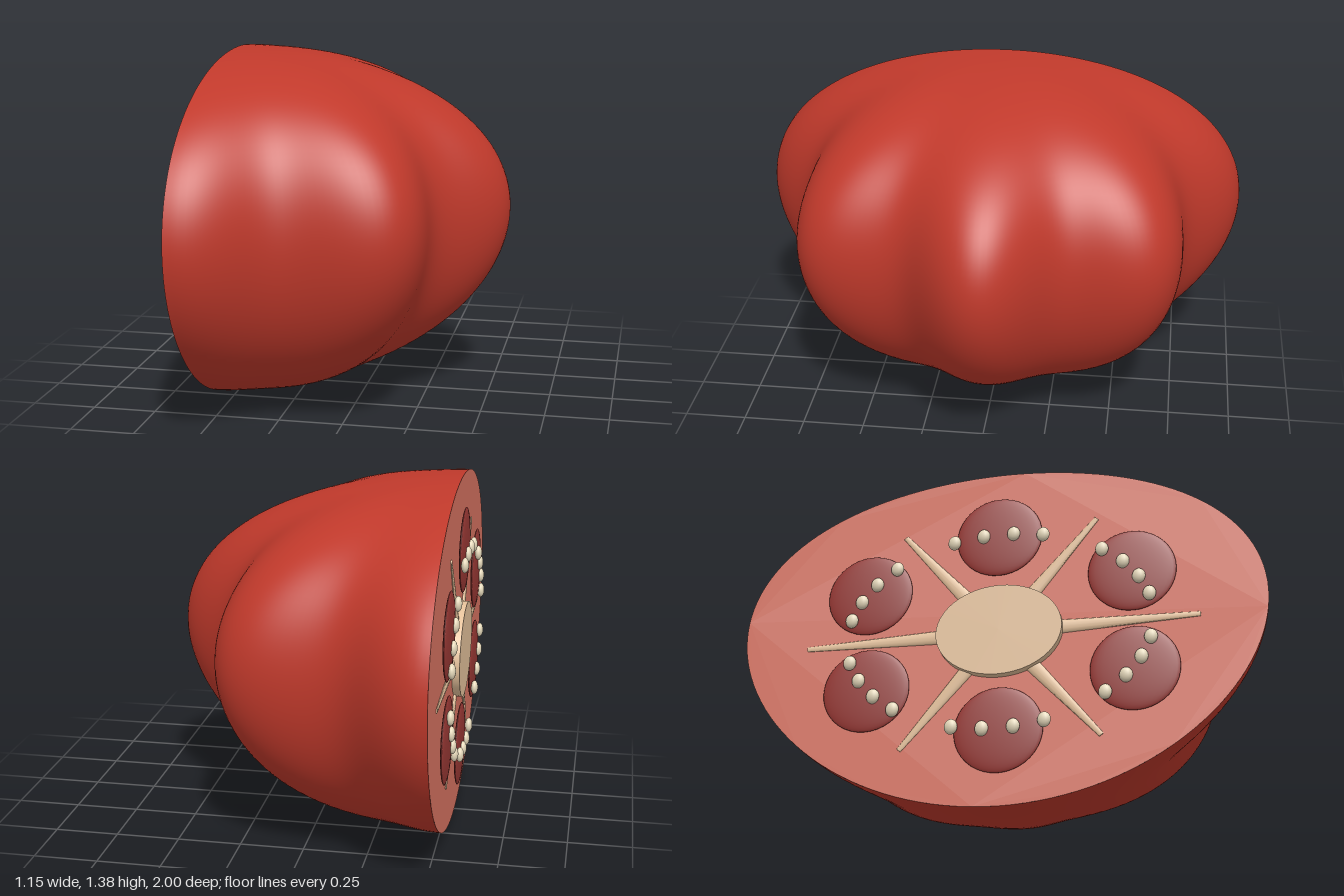
import * as THREE from 'three';
import { ParametricGeometry } from 'three/addons/geometries/ParametricGeometry.js';

const CUT_X = -0.53;   // plane of the cut
const MID_Y = 0.69;    // height of the core
const SQUASH = 0.69;   // height to width ratio of the cut

const mat = (name, color) => {
  const m = new THREE.MeshStandardMaterial({ color });
  m.name = name;
  return m;
};

// Height of the body at a latitude; the widest ring sits a little above the middle
const heightAt = (lat) => MID_Y + SQUASH * Math.sin(lat) + 0.075 * Math.cos(lat) ** 2;

export function createModel() {
  const skinRed = mat('skinRed', 0xc0392b);
  const fleshPink = mat('fleshPink', 0xda7462);
  const corePale = mat('corePale', 0xf0cba3);
  const pocketDark = mat('pocketDark', 0x983834);
  const seedCream = mat('seedCream', 0xecdfc0);

  const group = new THREE.Group();
  const add = (name, geometry, material, x, y, z) => {
    const mesh = new THREE.Mesh(geometry, material);
    mesh.name = name;
    mesh.position.set(x, y, z);
    group.add(mesh);
    return mesh;
  };
  // Point on an ellipse around the core, as [y, z]
  const around = (angle, r) => [MID_Y + r * SQUASH * Math.sin(angle), r * Math.cos(angle)];

  // Skin: half of a ribbed, flattened globe, ribs fading towards the poles
  const skin = new ParametricGeometry((u, v, p) => {
    const lat = (u - 0.5) * Math.PI;
    const theta = (v - 0.5) * Math.PI;
    const c = Math.cos(lat);
    const r = c * (1 - 0.075 * (1 - Math.cos(8 * theta)) * Math.pow(Math.max(c, 0), 1.5));
    p.set(CUT_X + 1.105 * r * Math.cos(theta), heightAt(lat), r * Math.sin(theta));
  }, 72, 128);
  skin.computeVertexNormals();
  add('skin', skin, skinRed, 0, 0, 0);

  // Cut face closing the open side
  const outline = [];
  for (let i = 0; i < 128; i++) {
    const a = (i / 128) * Math.PI * 2;
    outline.push(new THREE.Vector2(Math.cos(a), heightAt(a)));
  }
  const face = new THREE.ShapeGeometry(new THREE.Shape(outline));
  face.rotateY(-Math.PI / 2);
  add('cutFace', face, fleshPink, CUT_X, 0, 0);

  // Core disc
  const disc = new THREE.CylinderGeometry(1, 1, 0.03, 48);
  disc.rotateZ(Math.PI / 2);
  add('core', disc, corePale, CUT_X - 0.015, MID_Y, 0).scale.set(1, 0.185, 0.24);

  const ball = new THREE.SphereGeometry(1, 32, 20);
  const seedBall = new THREE.SphereGeometry(1, 16, 12);
  for (let i = 0; i < 6; i++) {
    // Tapered rib running out from the core
    const ribAngle = (i * Math.PI) / 3;
    const [y0, z0] = around(ribAngle, 0.18);
    const [y1, z1] = around(ribAngle, 0.75);
    const length = Math.hypot(y1 - y0, z1 - z0);
    const rib = new THREE.CylinderGeometry(0.01, 0.03, length, 12);
    rib.scale(0.3, 1, 1);
    add('rib', rib, corePale, CUT_X - 0.003, (y0 + y1) / 2, (z0 + z1) / 2)
      .rotation.x = Math.atan2(z1 - z0, y1 - y0);

    // Seed pocket between two ribs
    const pocketAngle = ribAngle + Math.PI / 6;
    const [py, pz] = around(pocketAngle, 0.583);
    add('seedPocket', ball, pocketDark, CUT_X - 0.015, py, pz).scale.set(0.015, 0.168, 0.166);

    // Row of seeds following the curve of the pocket ring
    for (const offset of [-0.3, -0.1, 0.1, 0.3]) {
      const [sy, sz] = around(pocketAngle + offset, 0.583);
      add('seed', seedBall, seedCream, CUT_X - 0.034, sy, sz).scale.set(0.015, 0.03, 0.025);
    }
  }
  return group;
}
